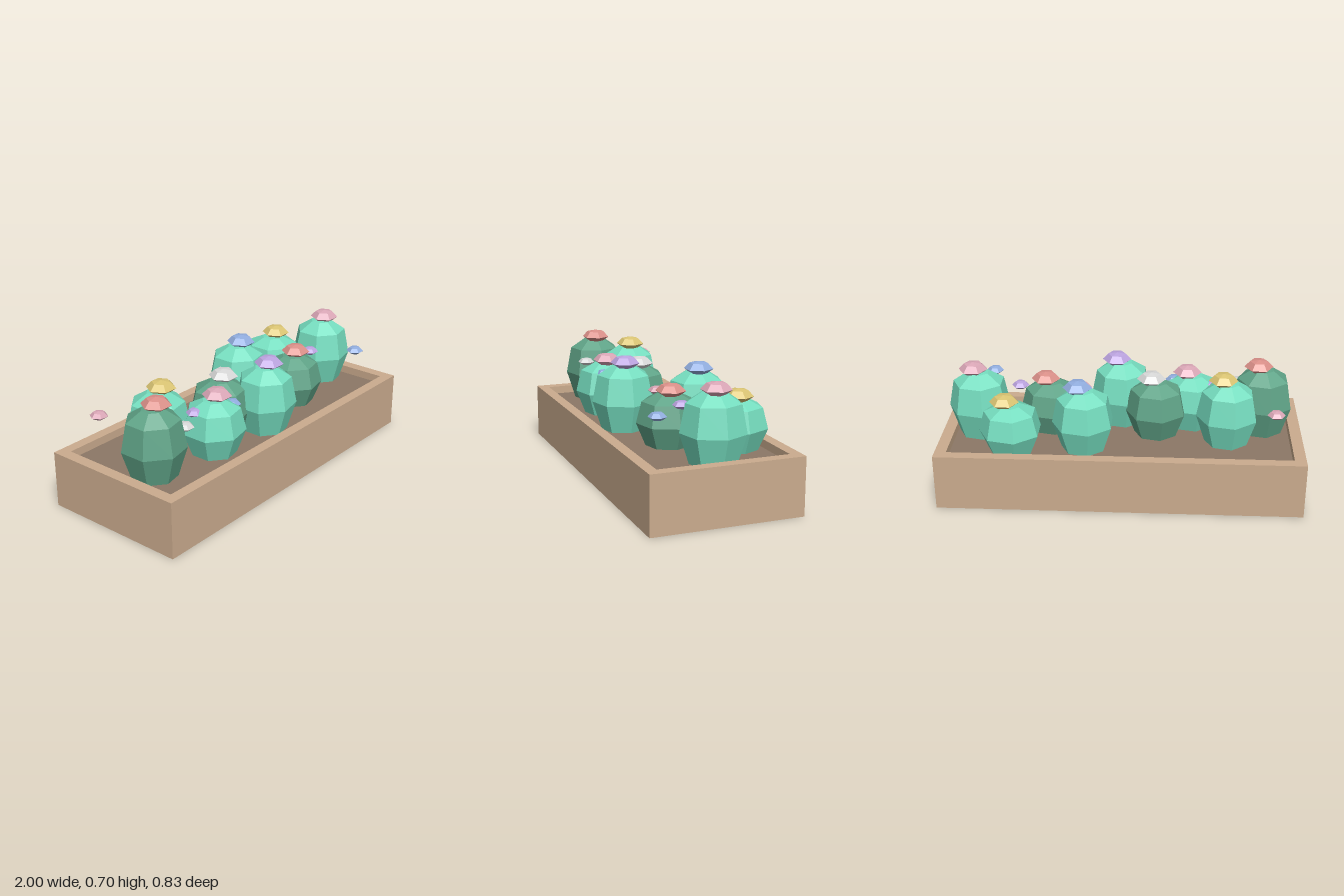
import * as THREE from 'three';

const mat = (name, color, flatShading = true) => {
  const m = new THREE.MeshStandardMaterial({ color, flatShading });
  m.name = name;
  return m;
};

// Faceted solid of revolution with a corner on +x; profile runs bottom to top
const turned = (profile, sides) =>
  new THREE.LatheGeometry(profile.map(([r, y]) => new THREE.Vector2(r, y)), sides, Math.PI / 2);

export function createModel() {
  const group = new THREE.Group();
  const wood = mat('wood', 0xcbac8e);
  const soil = mat('soil', 0x8c7866);
  const lightGreen = mat('light green', 0x76dec0);
  const darkGreen = mat('dark green', 0x60a488);
  const red = mat('red', 0xdc918a);
  const yellow = mat('yellow', 0xdcc674);
  const pink = mat('pink', 0xdca8b8);
  const purple = mat('purple', 0xbca4e0);
  const blue = mat('blue', 0x92aee0);
  const white = mat('white', 0xd8d8d8);

  const add = (name, geometry, material, x = 0, y = 0, z = 0) => {
    const mesh = new THREE.Mesh(geometry, material);
    mesh.name = name;
    mesh.position.set(x, y, z);
    group.add(mesh);
    return mesh;
  };

  // Planter frame: rectangular wall ring, extruded upwards
  const rect = (Type, w, d) => {
    const p = new Type();
    p.moveTo(-w, -d);
    p.lineTo(w, -d);
    p.lineTo(w, d);
    p.lineTo(-w, d);
    p.closePath();
    return p;
  };
  const frame = rect(THREE.Shape, 1, 0.415);
  frame.holes.push(rect(THREE.Path, 0.937, 0.355));
  const frameGeometry = new THREE.ExtrudeGeometry(frame, { depth: 0.315, bevelEnabled: false });
  frameGeometry.rotateX(-Math.PI / 2);
  add('planterFrame', frameGeometry, wood);

  // Soil bed, recessed at top and bottom
  add('soilBed', new THREE.BoxGeometry(1.874, 0.25, 0.71), soil, 0, 0.145, 0);

  // Seven-sided barrel body with unit height and radius
  const body = turned([[0, 0], [0.71, 0], [1, 0.45], [0.83, 0.875], [0.35, 1.03], [0, 1.05]], 7);
  // Six-sided blossom
  const blossom = turned([[0, 0], [0.045, 0], [0.081, 0.026], [0.05, 0.058], [0, 0.067]], 6);

  // Plants: blossom x, z, base height of blossom, body and blossom colours
  const base = 0.27;
  const plants = [
    [-0.755, 0.10, 0.63, darkGreen, red],
    [-0.555, -0.055, 0.61, lightGreen, yellow],
    [-0.36, 0.16, 0.56, lightGreen, pink],
    [-0.16, 0.035, 0.57, darkGreen, white],
    [0.04, 0.19, 0.62, lightGreen, purple],
    [0.235, -0.165, 0.60, lightGreen, blue],
    [0.435, 0.08, 0.54, darkGreen, red],
    [0.63, -0.215, 0.53, lightGreen, yellow],
    [0.83, 0, 0.625, lightGreen, pink],
  ];
  for (const [x, z, top, green, petal] of plants) {
    const plant = add('cactusBody', body, green, x - 0.029, base, z);
    plant.scale.set(0.173, top - base, 0.173);
    add('cactusBlossom', blossom, petal, x, top, z);
  }

  // Small loose blossoms between the plants
  const buds = [
    [-0.835, -0.235, pink],
    [-0.65, 0.195, white],
    [-0.495, 0.125, purple],
    [-0.285, 0.2, blue],
    [0.225, 0.075, pink],
    [0.58, 0.08, purple],
    [0.755, 0.28, blue],
  ];
  for (const [x, z, petal] of buds) {
    add('smallBlossom', blossom, petal, x, 0.506, z).scale.set(0.61, 0.61, 0.61);
  }
  return group;
}
